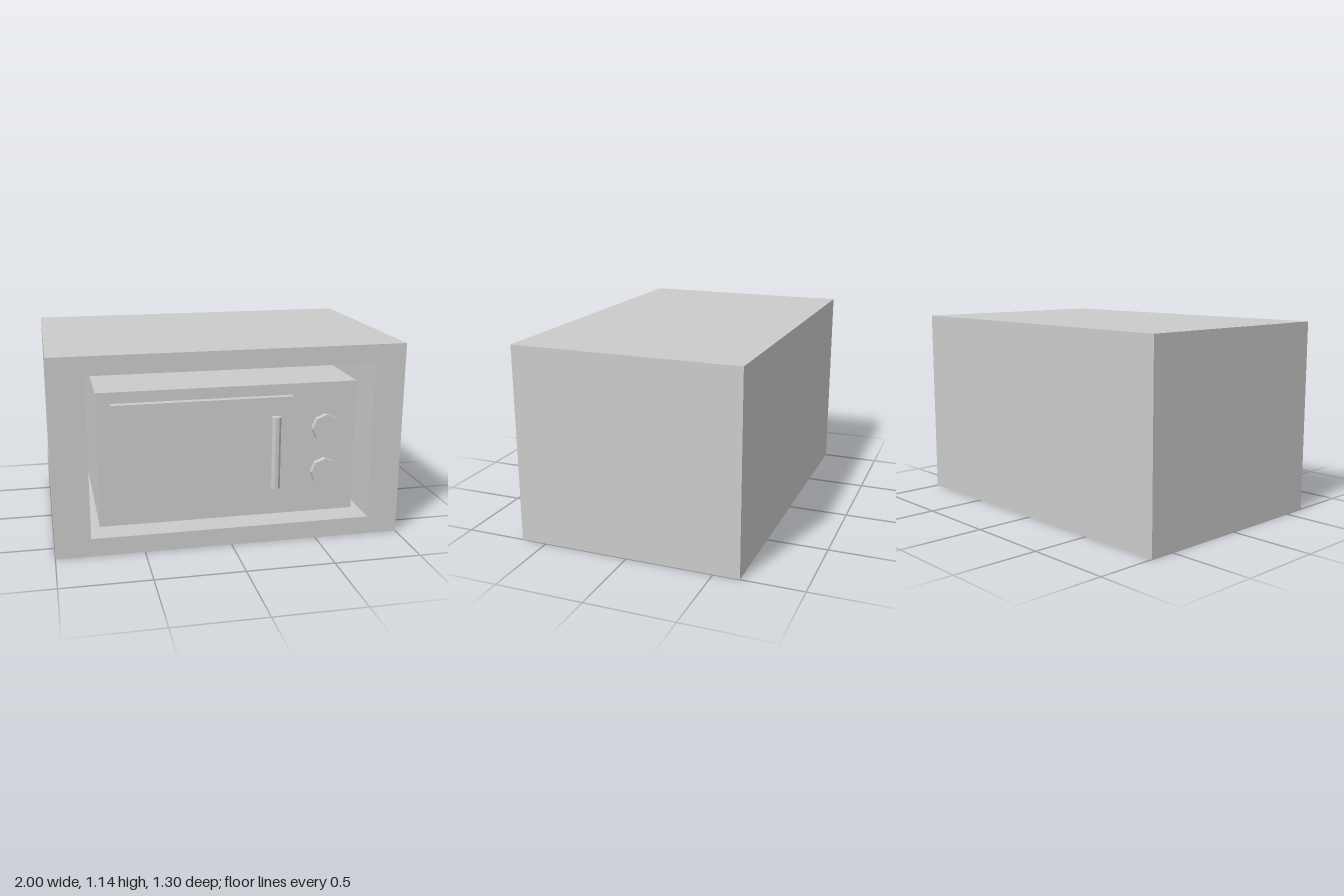
import * as THREE from 'three';

const material = new THREE.MeshStandardMaterial({ color: 0xcccccc, flatShading: true });

function add(parent, name, geometry, x = 0, y = 0, z = 0) {
  const mesh = new THREE.Mesh(geometry, material);
  mesh.name = name;
  mesh.position.set(x, y, z);
  parent.add(mesh);
  return mesh;
}

// Box given by its lower and upper corners
function addBox(parent, name, [x0, y0, z0], [x1, y1, z1]) {
  const geometry = new THREE.BoxGeometry(x1 - x0, y1 - y0, z1 - z0);
  return add(parent, name, geometry, (x0 + x1) / 2, (y0 + y1) / 2, (z0 + z1) / 2);
}

function rectangle(Type, x0, y0, x1, y1) {
  const path = new Type();
  path.moveTo(x0, y0);
  path.lineTo(x1, y0);
  path.lineTo(x1, y1);
  path.lineTo(x0, y1);
  path.closePath();
  return path;
}

export function createModel() {
  const model = new THREE.Group();
  model.name = 'builtInMicrowave';

  // Cabinet: a frame around the niche, closed by a back panel
  const cabinet = new THREE.Group();
  cabinet.name = 'cabinet';
  model.add(cabinet);
  const height = 1.137, front = 0.65, nicheBack = -0.55;
  const outline = rectangle(THREE.Shape, -1, 0, 1, height);
  outline.holes.push(rectangle(THREE.Path, -0.8, 0.105, 0.82, 1.03));
  const frame = new THREE.ExtrudeGeometry(outline, { depth: front - nicheBack, bevelEnabled: false });
  add(cabinet, 'cabinetFrame', frame, 0, 0, nicheBack);
  addBox(cabinet, 'cabinetBack', [-1, 0, -front], [1, height, nicheBack]);

  // Microwave standing on the niche floor
  const microwave = new THREE.Group();
  microwave.name = 'microwave';
  model.add(microwave);
  addBox(microwave, 'microwaveBody', [-0.74, 0.105, -0.5], [0.775, 0.895, 0.49]);
  addBox(microwave, 'door', [-0.66, 0.19, 0.48], [0.385, 0.83, 0.532]);

  // Upright eight-sided handle with a flat side to the front
  const handle = new THREE.CylinderGeometry(0.028, 0.028, 0.43, 8);
  handle.rotateY(Math.PI / 8);
  add(microwave, 'handle', handle, 0.28, 0.505, 0.547);

  // Two eight-sided control knobs
  for (const [name, y] of [['upperKnob', 0.625], ['lowerKnob', 0.357]]) {
    const knob = new THREE.CylinderGeometry(0.083, 0.083, 0.05, 8);
    knob.rotateX(Math.PI / 2);
    add(microwave, name, knob, 0.59, y, 0.502);
  }

  return model;
}
